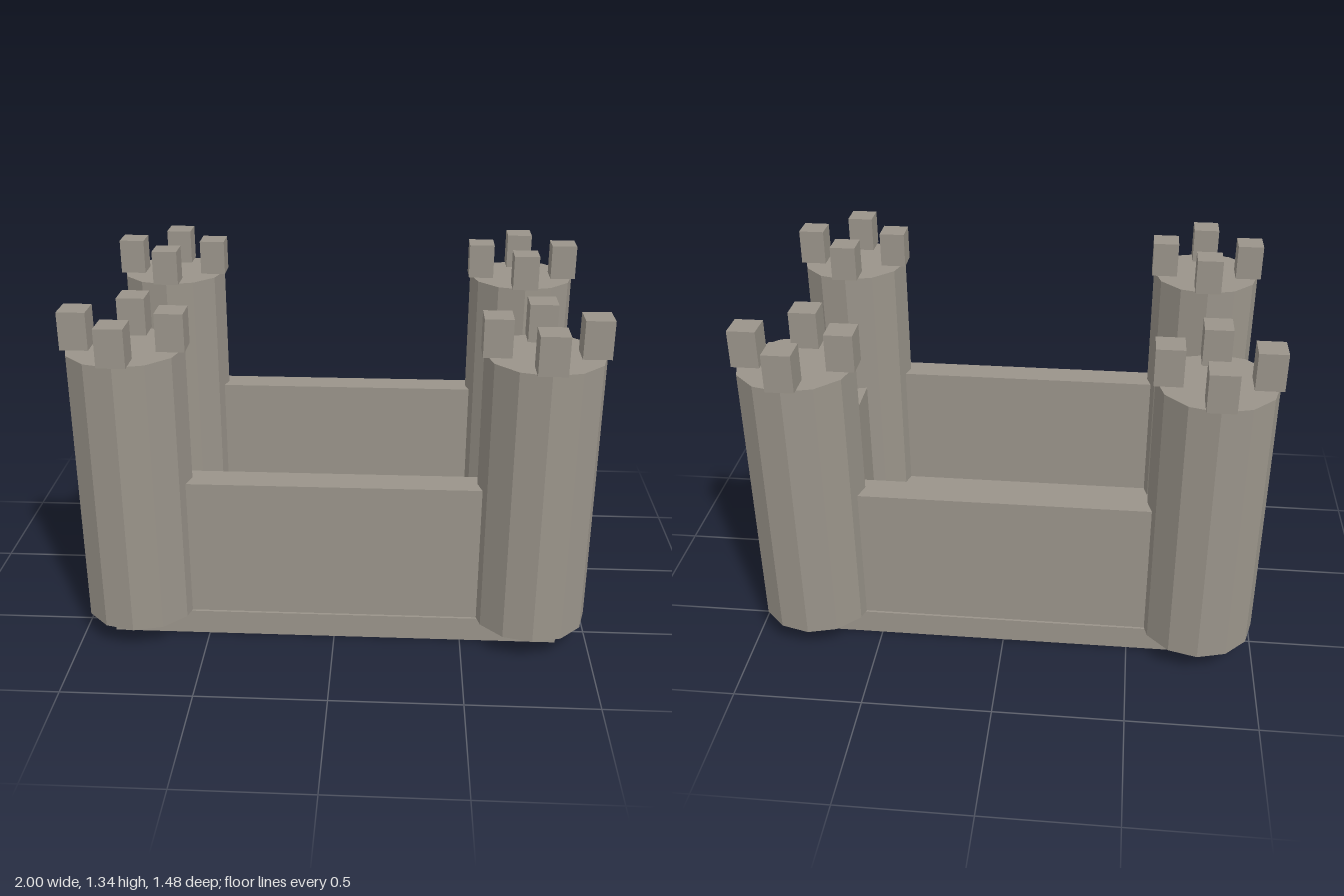
import * as THREE from 'three';

export function createModel() {
  const castle = new THREE.Group();
  castle.name = 'castle';

  const stone = new THREE.MeshStandardMaterial({ color: 0x9a948a, flatShading: true });
  stone.name = 'stone';

  const BASE_TOP = 0.1, WALL_TOP = 0.66, TOWER_TOP = 1.19, MERLON_TOP = 1.335;

  // Box given by its limits on each axis
  function block(name, [x0, x1], [y0, y1], [z0, z1], parent = castle) {
    const mesh = new THREE.Mesh(new THREE.BoxGeometry(x1 - x0, y1 - y0, z1 - z0), stone);
    mesh.position.set((x0 + x1) / 2, (y0 + y1) / 2, (z0 + z1) / 2);
    mesh.name = name;
    parent.add(mesh);
  }

  // Foundation slab
  block('base', [-0.882, 0.878], [0, BASE_TOP], [-0.583, 0.581]);

  // Curtain walls, with their ends buried in the towers
  const wallY = [BASE_TOP, WALL_TOP];
  block('frontWall', [-0.7, 0.7], wallY, [0.452, 0.571]);
  block('backWall', [-0.7, 0.7], wallY, [-0.574, -0.456]);
  block('rightWall', [-0.828, -0.716], wallY, [-0.45, 0.45]);
  block('leftWall', [0.71, 0.822], wallY, [-0.45, 0.45]);

  // Twelve-sided corner tower with four merlons on its rim
  function tower(name, x, z) {
    const group = new THREE.Group();
    group.name = name;
    group.position.set(x, 0, z);

    const height = TOWER_TOP - BASE_TOP;
    const shaft = new THREE.Mesh(new THREE.CylinderGeometry(0.223, 0.223, height, 12), stone);
    shaft.position.y = BASE_TOP + height / 2;
    shaft.name = 'towerShaft';
    group.add(shaft);

    const half = 0.053, reach = 0.178;
    for (const [dx, dz] of [[1, 0], [-1, 0], [0, 1], [0, -1]]) {
      const cx = dx * reach, cz = dz * reach;
      block('merlon', [cx - half, cx + half], [TOWER_TOP, MERLON_TOP], [cz - half, cz + half], group);
    }
    castle.add(group);
  }

  tower('frontRightTower', -0.773, 0.509);
  tower('frontLeftTower', 0.768, 0.509);
  tower('backRightTower', -0.773, -0.509);
  tower('backLeftTower', 0.768, -0.509);

  return castle;
}
